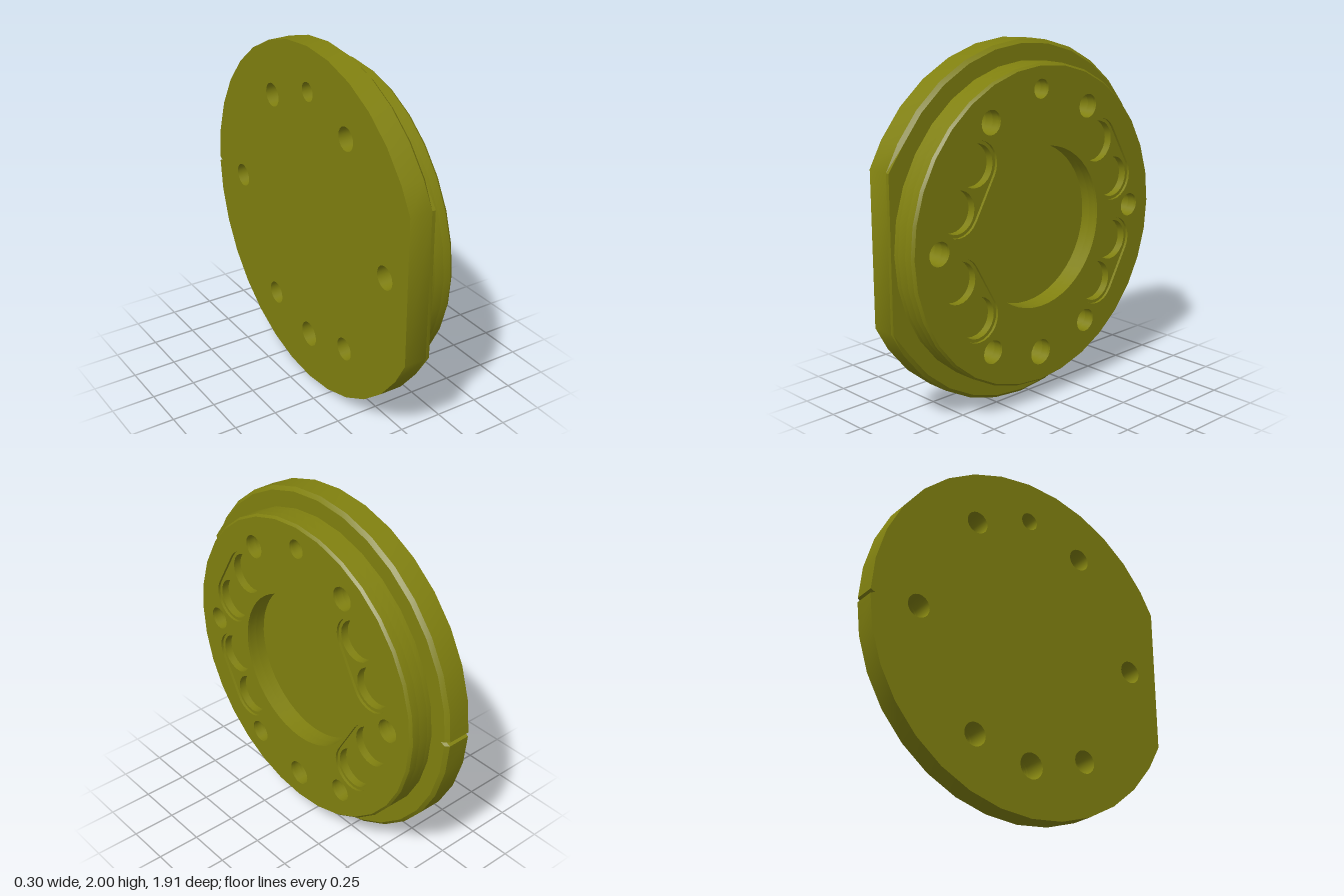
import * as THREE from 'three';
import { toCreasedNormals } from 'three/addons/utils/BufferGeometryUtils.js';

const CENTRE_Y = 1, CENTRE_Z = 0.047;
const FLAT = -0.908; // flat cut on the flange, in disc coordinates

const arc = (cx, cy, r, n, from = 0, sweep = Math.PI * 2) => {
  const full = sweep >= Math.PI * 2;
  return Array.from({ length: full ? n : n + 1 }, (_, i) => {
    const a = from + (sweep * i) / n;
    return new THREE.Vector2(cx + r * Math.cos(a), cy + r * Math.sin(a));
  });
};

// Flange outline: a faceted circle with one flat and a small notch opposite it
function flangeOutline() {
  const half = Math.acos(FLAT);
  const polar = (r, a) => new THREE.Vector2(r * Math.cos(a), r * Math.sin(a));
  const pts = [polar(0.975, 0), polar(1, 0.012)];
  const n = 32, step = (Math.PI * 2) / n;
  for (let i = 1; i * step < half; i++) pts.push(polar(1, i * step));
  pts.push(polar(1, half), polar(1, -half));
  for (let i = Math.floor(half / step); i >= 1; i--) pts.push(polar(1, -i * step));
  pts.push(polar(1, -0.012));
  return pts;
}

// Pill-shaped outline around two bore centres
function pill(a, b, r) {
  const dir = Math.atan2(b[1] - a[1], b[0] - a[0]);
  return [
    ...arc(b[0], b[1], r, 12, dir - Math.PI / 2, Math.PI),
    ...arc(a[0], a[1], r, 12, dir + Math.PI / 2, Math.PI),
  ];
}

export function createModel() {
  const group = new THREE.Group();
  group.name = 'flangedDisc';
  const material = new THREE.MeshStandardMaterial({ color: 0x80800f });

  // One slab of the disc from x0 to x1; the outer rim of its +x face can be chamfered
  function slab(name, outline, holes, x0, x1, chamfer = 0) {
    const shape = new THREE.Shape(outline);
    for (const h of holes) shape.holes.push(new THREE.Path(h));
    const depth = x1 - x0;
    let geo = new THREE.ExtrudeGeometry(shape, { depth, bevelEnabled: false });
    const p = geo.attributes.position;
    for (let i = 0; chamfer && i < p.count; i++) {
      const x = p.getX(i), y = p.getY(i), r = Math.hypot(x, y);
      if (p.getZ(i) > depth / 2 && r > 0.86 && x > FLAT + 0.005) {
        p.setXY(i, x * (1 - chamfer / r), y * (1 - chamfer / r));
      }
    }
    geo.deleteAttribute('normal');
    geo = toCreasedNormals(geo, 0.6);
    geo.rotateY(Math.PI / 2);
    geo.translate(x0, CENTRE_Y, CENTRE_Z);
    const mesh = new THREE.Mesh(geo, material);
    mesh.name = name;
    group.add(mesh);
  }

  // Through holes: one small on top, one large below, six equal ones
  const through = [arc(0, 0.753, 0.053, 20), arc(0, -0.716, 0.073, 20)];
  for (const s of [-1, 1]) {
    through.push(arc(s * 0.716, 0, 0.066, 20));
    for (const t of [-1, 1]) through.push(arc(s * 0.358, t * 0.62, 0.066, 20));
  }

  // Central pocket and four pairs of blind bores, each pair in a shallow recess
  const pocket = arc(0, 0, 0.447, 48);
  const bores = [], recesses = [];
  for (const s of [-1, 1]) {
    for (const t of [-1, 1]) {
      const a = [s * 0.453, t * 0.408], b = [s * 0.581, t * 0.187];
      bores.push(arc(...a, 0.115, 24), arc(...b, 0.115, 24));
      recesses.push(pill(a, b, 0.133));
    }
  }

  // Flange
  const flange = flangeOutline();
  slab('flange', flange, through, -0.15, -0.02);
  slab('flangeChamfer', flange, through, -0.02, 0, 0.02);

  // Raised boss, built up in layers as the pockets open
  const boss = arc(0, 0, 0.888, 32);
  slab('pocketFloor', boss, through, 0, 0.03);
  slab('boreFloor', boss, [...through, pocket], 0.03, 0.085);
  slab('boreLayer', boss, [...through, pocket, ...bores], 0.085, 0.13);
  slab('bossFace', boss, [...through, pocket, ...recesses], 0.13, 0.145, 0.012);

  return group;
}
